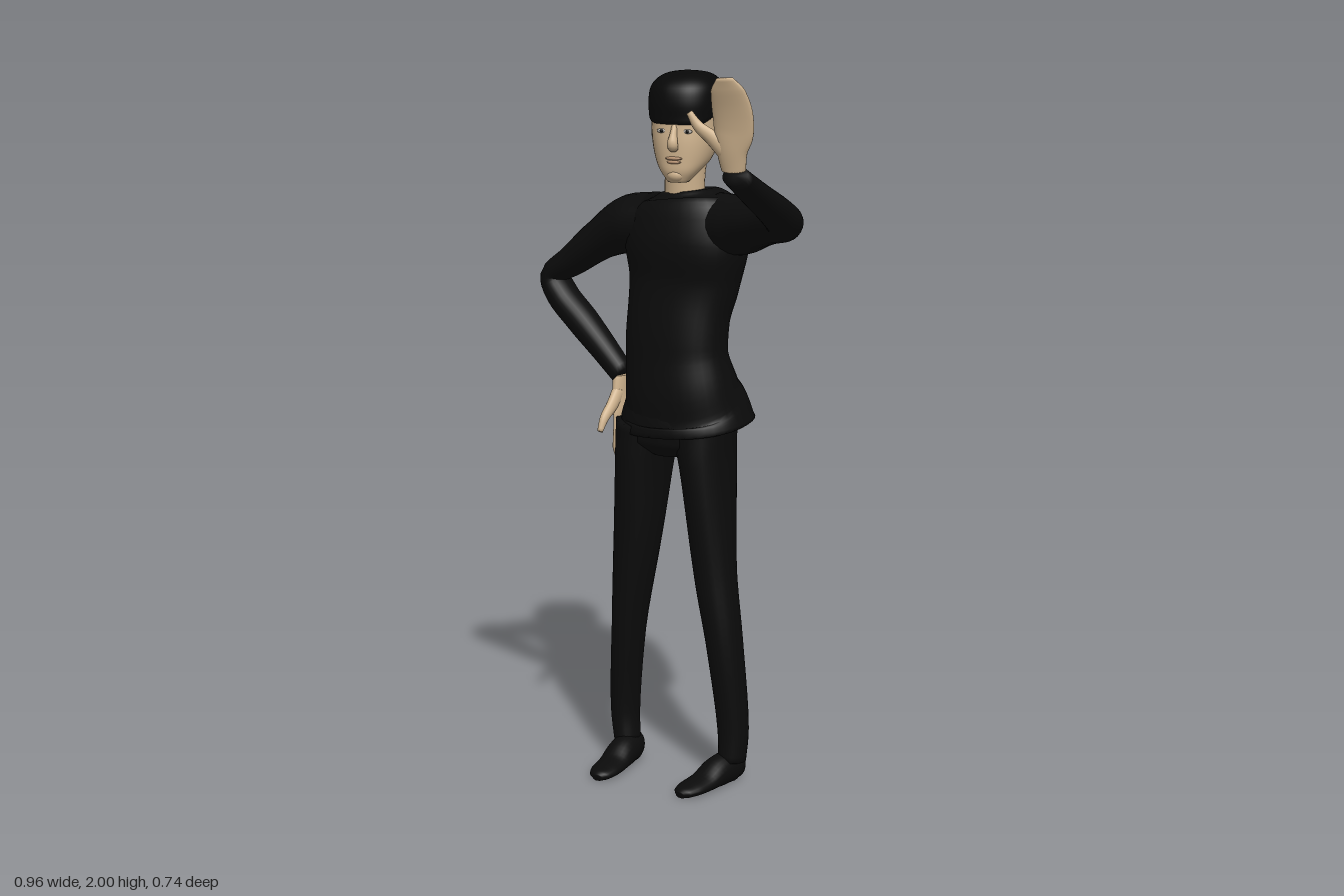
import * as THREE from 'three';

const mat = (name, color, extra = {}) => Object.assign(new THREE.MeshStandardMaterial({ color, ...extra }), { name });
const V = (x, y, z) => new THREE.Vector3(x, y, z);
const spow = (v, p) => Math.sign(v) * Math.abs(v) ** p;

// Closed skin from a point function: u runs along the part, angle runs around it
function skinSurface(point, rows, segs) {
  const pos = [], idx = [];
  for (let i = 0; i <= rows; i++)
    for (let j = 0; j < segs; j++) pos.push(...point(i, (j / segs) * Math.PI * 2).toArray());
  for (let i = 0; i < rows; i++)
    for (let j = 0; j < segs; j++) {
      const k = (j + 1) % segs, a = i * segs + j, b = i * segs + k;
      idx.push(a, b, b + segs, a, b + segs, a + segs);
    }
  const g = new THREE.BufferGeometry();
  g.setAttribute('position', new THREE.Float32BufferAttribute(pos, 3));
  g.setIndex(idx);
  g.computeVertexNormals();
  return g;
}

// Smooth loft through rings [x, y, z, a, b]; a lies along ref x tangent, b across it
function loft(rings, ref, segs = 24, power = 1) {
  const path = new THREE.CatmullRomCurve3(rings.map(r => V(r[0], r[1], r[2])));
  const size = new THREE.CatmullRomCurve3(rings.map(r => V(r[3], r[4], 0)));
  const n = (rings.length - 1) * 5;
  return skinSurface((i, ang) => {
    const t = THREE.MathUtils.clamp((i - 1) / n, 0, 1);
    const p = path.getPoint(t);
    if (i > 0 && i < n + 2) {
      const s = size.getPoint(t), T = path.getTangent(t);
      const U = ref.clone().cross(T).normalize(), W = T.clone().cross(U);
      p.addScaledVector(U, s.x * spow(Math.cos(ang), power)).addScaledVector(W, s.y * spow(Math.sin(ang), power));
    }
    p.y = Math.max(0, p.y);
    return p;
  }, n + 2, segs);
}

const Y = V(0, 1, 0), Z = V(0, 0, 1);

// Head cross-sections: height, half width, front depth, back depth
const headRows = [
  [1.672, .028, .098, .04], [1.70, .052, .109, 0], [1.73, .072, .111, -.06],
  [1.78, .086, .112, -.092], [1.83, .092, .108, -.11], [1.88, .095, .11, -.115],
  [1.92, .088, .1, -.105], [1.948, .06, .065, -.075], [1.96, .002, .002, -.002],
];
const headA = new THREE.CatmullRomCurve3(headRows.map(r => V(r[1], r[0], r[2])));
const headB = new THREE.CatmullRomCurve3(headRows.map(r => V(r[3], r[0], 0)));
function headPoint(ang, t) {
  const a = headA.getPoint(t), back = headB.getPoint(t).x;
  const mid = (a.z + back) / 2, half = (a.z - back) / 2;
  return V(a.x * spow(Math.sin(ang), .88), a.y, mid + half * spow(Math.cos(ang), .88));
}

export function createModel() {
  const model = new THREE.Group();
  model.name = 'wavingMan';
  const skin = mat('skin', 0xd0b48f);
  const cloth = mat('black cloth', 0x0b0b0b);
  const hairMat = mat('black hair', 0x080808, { side: THREE.DoubleSide });
  const eyeWhite = mat('eye white', 0xb9b3aa);
  const lipMat = mat('lips', 0xb08d6e);
  const add = (name, geo, material, parent = model) => {
    const m = new THREE.Mesh(geo, material);
    m.name = name;
    parent.add(m);
    return m;
  };
  const ball = (name, material, parent, p, s) => {
    const m = add(name, new THREE.SphereGeometry(1, 16, 12), material, parent);
    m.position.copy(p);
    m.scale.set(...s);
    return m;
  };

  // Shirt body, flaring at the hem
  add('shirt', loft([
    [-.02, 1.0, -.2, .187, .162], [-.022, 1.04, -.195, .175, .15], [-.025, 1.1, -.175, .16, .125],
    [-.035, 1.2, -.164, .147, .102], [-.033, 1.3, -.17, .147, .1], [-.025, 1.4, -.187, .16, .107],
    [-.02, 1.5, -.19, .178, .118], [-.02, 1.57, -.2, .17, .113], [-.025, 1.615, -.21, .13, .095],
    [-.028, 1.64, -.21, .075, .07],
  ], Z, 36, .88), cloth);

  // Sleeves: right hand on hip, left arm raised forward
  add('rightSleeve', loft([
    [-.12, 1.54, -.2, .09, .1], [-.2, 1.535, -.2, .082, .095], [-.29, 1.49, -.19, .058, .07],
    [-.38, 1.425, -.187, .044, .06], [-.443, 1.377, -.185, .036, .055], [-.42, 1.325, -.183, .042, .053],
    [-.35, 1.257, -.178, .043, .05], [-.27, 1.183, -.168, .038, .042], [-.205, 1.12, -.16, .033, .035],
  ], Z), cloth);
  add('leftSleeve', loft([
    [.08, 1.555, -.2, .09, .085], [.16, 1.56, -.175, .095, .08], [.23, 1.573, -.13, .08, .064],
    [.31, 1.588, -.07, .06, .053], [.385, 1.605, .005, .05, .048], [.403, 1.645, .09, .046, .042],
    [.407, 1.695, .19, .041, .035], [.41, 1.757, .308, .035, .028],
  ], Y), cloth);

  // Trousers
  add('trouserSeat', loft([
    [-.033, .915, -.16, .06, .075], [-.033, .95, -.163, .165, .108], [-.032, 1.0, -.165, .17, .112],
    [-.03, 1.08, -.165, .15, .1],
  ], Z, 32), cloth);
  const legs = {
    right: [[-.125, 1.0, -.163, .085, .105], [-.135, .9, -.162, .075, .105], [-.15, .68, -.148, .066, .075],
      [-.18, .4, -.147, .046, .057], [-.2, .15, -.16, .04, .046], [-.19, .06, -.155, .036, .042]],
    left: [[.055, 1.0, -.163, .085, .105], [.067, .9, -.162, .07, .105], [.1, .6, -.146, .058, .066],
      [.13, .4, -.147, .05, .057], [.152, .15, -.16, .043, .046], [.152, .06, -.155, .038, .042]],
  };
  const feet = { right: [-.187, -.167], left: [.148, .1] };
  for (const side of ['right', 'left']) {
    add(side + 'TrouserLeg', loft(legs[side], Z), cloth);
    // Flat-soled shoe from heel to toe: z, half width, half height
    const [heelX, toeX] = feet[side];
    add(side + 'Shoe', loft([
      [-.198, .025, .03], [-.17, .038, .046], [-.11, .042, .043], [-.05, .043, .025],
      [0, .041, .019], [.032, .03, .015], [.045, .014, .01],
    ].map(([z, a, b]) => [THREE.MathUtils.lerp(heelX, toeX, (z + .198) / .243), b * .85, z, a, b]), Y), cloth);
  }

  // Hands: fingers along +y, thumb toward -x
  const makeHand = name => {
    const hand = new THREE.Group();
    hand.name = name;
    add('palmAndFingers', loft([
      [0, -.01, 0, .031, .02], [0, .05, 0, .042, .018], [.008, .1, -.004, .055, .016],
      [.01, .15, -.003, .057, .013], [.006, .205, .003, .048, .01], [.004, .236, .008, .024, .006],
    ], Z), skin, hand);
    add('thumb', loft([
      [-.015, .045, 0, .024, .016], [-.055, .083, 0, .019, .014], [-.088, .11, .002, .014, .012],
      [-.108, .145, .004, .008, .008],
    ], Z, 16), skin, hand);
    model.add(hand);
    return hand;
  };
  const leftHand = makeHand('leftHand');
  leftHand.position.set(.41, 1.77, .315);
  leftHand.rotation.x = .2;
  const rightHand = makeHand('rightHand');
  rightHand.setRotationFromMatrix(new THREE.Matrix4().makeBasis(V(0, 0, -1), V(0, -1, 0), V(-1, 0, 0)));
  rightHand.position.set(-.213, 1.12, -.165);

  // Neck and head, turned slightly to its left
  add('neck', loft([[-.03, 1.58, -.2, .06, .06], [-.028, 1.65, -.193, .054, .056], [-.024, 1.75, -.195, .056, .065]], Z), skin);
  const head = new THREE.Group();
  head.name = 'head';
  head.position.set(-.022, 0, -.195);
  head.rotation.y = .2;
  model.add(head);
  add('face', skinSurface((i, ang) => i === 0 ? V(0, 1.675, .07) : headPoint(ang, (i - 1) / 32), 33, 40), skin, head);

  // Hair cap: straight fringe, raised temples, low nape
  add('hair', skinSurface((i, ang) => {
    const turn = Math.min(ang, Math.PI * 2 - ang), ss = THREE.MathUtils.smoothstep;
    const start = .49 + .05 * ss(turn, .7, 1.4) - .23 * ss(turn, 1.65, 2.3);
    const p = headPoint(ang, THREE.MathUtils.lerp(start, 1, Math.max(0, i - 1) / 20));
    const s = i === 0 ? .97 : 1.055;
    return V(p.x * s, p.y + (i === 0 ? 0 : .005), p.z * s);
  }, 21, 60), hairMat, head);

  // Facial features
  add('nose', loft([[0, 1.825, .1, .008, .01], [0, 1.8, .112, .01, .012], [0, 1.775, .121, .015, .014],
    [0, 1.762, .11, .012, .01]], Z, 14), skin, head);
  ball('chin', skin, head, V(0, 1.692, .094), [.024, .018, .018]);
  ball('upperLip', lipMat, head, V(0, 1.738, .11), [.024, .005, .008]);
  ball('lowerLip', lipMat, head, V(0, 1.728, .109), [.02, .005, .008]);
  for (const s of [-1, 1]) {
    const eye = headPoint(s * .36, .45);
    ball('eye', eyeWhite, head, eye, [.014, .006, .004]);
    ball('pupil', hairMat, head, eye.clone().add(V(0, 0, .002)), [.005, .005, .004]);
    ball('ear', skin, head, headPoint(s * 1.68, .42).add(V(s * .004, 0, 0)), [.011, .034, .02]).rotation.x = -.2;
  }
  return model;
}
